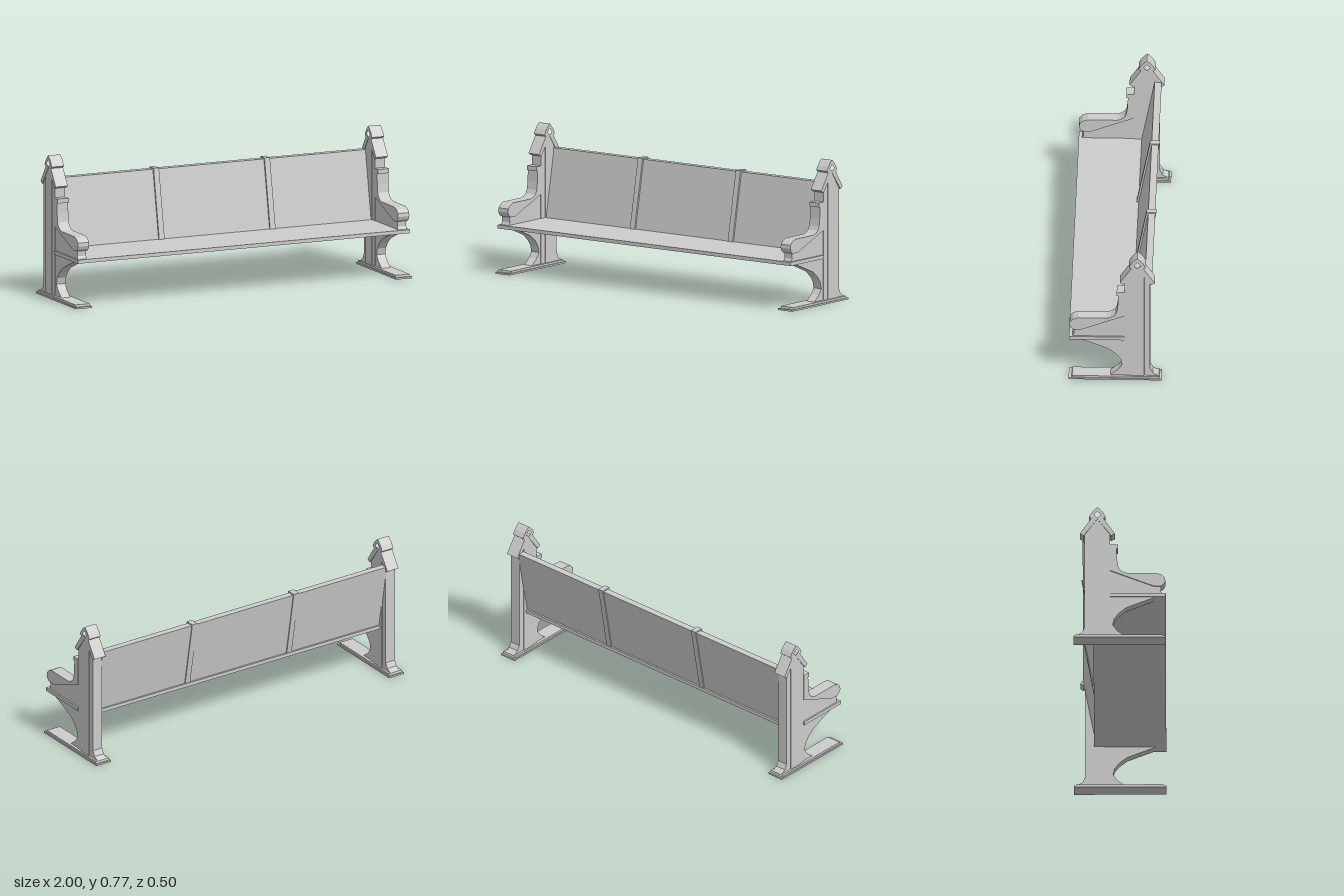
import * as THREE from 'three';

const mat = new THREE.MeshStandardMaterial({ color: 0xcccccc, flatShading: true });
const END_X = 0.952; // centre of each bench end
const AXIS = -0.119; // z of the post's centre line

// Side profile of [z, y] points, extruded along x and centred on x = 0
function slab(name, points, width, hole) {
  const toV = ([z, y]) => new THREE.Vector2(-z, y);
  const shape = new THREE.Shape(points.map(toV));
  if (hole) shape.holes.push(new THREE.Path(hole.map(toV)));
  const geo = new THREE.ExtrudeGeometry(shape, { depth: width, bevelEnabled: false });
  geo.translate(0, 0, -width / 2).rotateY(Math.PI / 2);
  const mesh = new THREE.Mesh(geo, mat);
  mesh.name = name;
  return mesh;
}

const rect = (z0, z1, y0, y1) => [[z0, y0], [z1, y0], [z1, y1], [z0, y1]];

// Completes a half outline by reflecting it about the post's centre line
function symmetric(half) {
  const other = half.filter(([z]) => z !== AXIS).map(([z, y]) => [2 * AXIS - z, y]);
  return [...half, ...other.reverse()];
}

function benchEnd(name) {
  const end = new THREE.Group();
  end.name = name;

  // stepped foot
  end.add(slab('footBase', rect(-0.248, 0.25, 0, 0.009), 0.096));
  end.add(slab('footStep', [[-0.238, 0.009], [0.234, 0.009], [0.231, 0.02], [-0.235, 0.02]], 0.084));

  // gabled post with a raised centre strip
  end.add(slab('post', [[-0.05, 0.02], [-0.05, 0.614], [AXIS, 0.707], [-0.188, 0.614], [-0.188, 0.02]], 0.06));
  end.add(slab('postStrip', [[-0.085, 0.02], [-0.085, 0.661], [AXIS, 0.706], [-0.156, 0.661], [-0.156, 0.02]], 0.068));
  end.add(slab('backFlare', [[-0.187, 0.02], [-0.187, 0.064], [-0.19, 0.061], [-0.203, 0.035], [-0.232, 0.02]], 0.06));

  // pitched cap topped by a pierced finial
  end.add(slab('cap', [
    [-0.025, 0.619], [-0.045, 0.607], [AXIS, 0.707], [-0.193, 0.607], [-0.213, 0.619],
    [-0.152, 0.709], [AXIS, 0.712], [-0.086, 0.709],
  ], 0.072));
  end.add(slab('finial', symmetric([
    [AXIS, 0.706], [-0.086, 0.709], [-0.074, 0.719], [-0.088, 0.744], [-0.105, 0.763], [AXIS, 0.775],
  ].slice(1, 5)).toSpliced(4, 0, [AXIS, 0.775]).concat([[AXIS, 0.705]]), 0.072,
  [[AXIS, 0.712], [AXIS + 0.019, 0.731], [AXIS, 0.75], [AXIS - 0.019, 0.731]]));

  // scrolled armrest, with a thinner infill panel below it
  end.add(slab('armrest', [
    [-0.05, 0.402], [-0.05, 0.555], [-0.008, 0.555], [-0.008, 0.531], [-0.016, 0.531],
    [-0.014, 0.471], [-0.008, 0.428], [0.002, 0.406], [0.022, 0.393], [0.043, 0.387],
    [0.2, 0.387], [0.227, 0.377], [0.244, 0.359], [0.246, 0.34], [0.238, 0.322],
    [0.223, 0.311], [0.182, 0.311],
  ], 0.066));
  end.add(slab('armPanel', [
    [-0.05, 0.266], [-0.05, 0.402], [0.182, 0.312], [0.223, 0.312], [0.221, 0.283], [0.23, 0.266],
  ], 0.052));

  // curved bracket under the seat
  end.add(slab('bracket', [
    [-0.05, 0.248], [0.195, 0.248], [0.105, 0.213], [0.035, 0.184], [-0.004, 0.152],
    [-0.029, 0.119], [-0.037, 0.084], [-0.016, 0.053], [0.025, 0.02], [-0.05, 0.02],
  ], 0.052));
  return end;
}

export function createModel() {
  const bench = new THREE.Group();
  bench.name = 'bench';

  for (const side of [1, -1]) {
    const end = benchEnd(side > 0 ? 'leftEnd' : 'rightEnd');
    end.position.x = side * END_X;
    bench.add(end);
  }

  // seat board, running under the arms at the front and between the posts behind
  bench.add(slab('seatFront', rect(-0.05, 0.248, 0.247, 0.267), 1.974));
  bench.add(slab('seatRear', rect(-0.14, -0.05, 0.247, 0.267), 1.85));

  // leaning backrest
  bench.add(slab('backrest', [[-0.09, 0.267], [-0.16, 0.638], [-0.198, 0.638], [-0.13, 0.267]], 1.85));

  // battens wrapping the backrest
  for (const x of [-0.33, 0.33]) {
    const batten = slab('batten', [[-0.08, 0.267], [-0.151, 0.645], [-0.204, 0.645], [-0.136, 0.267]], 0.032);
    batten.position.x = x;
    bench.add(batten);
  }
  return bench;
}
